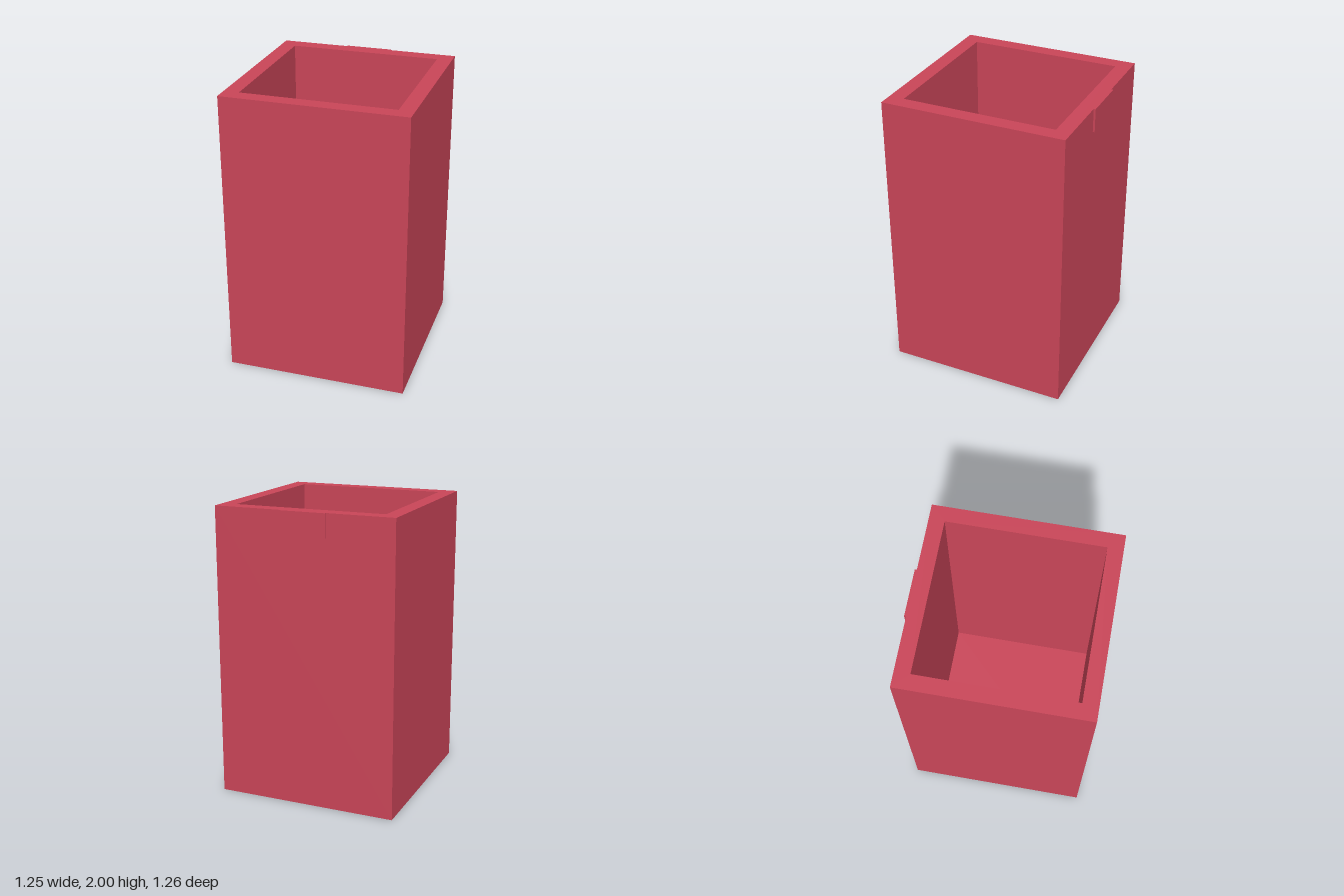
import * as THREE from 'three';

const HEIGHT = 2, SIZE = 1.252, CAVITY = 1.044, FLOOR = 0.1, CENTRE_Z = 0.0065;

export function createModel() {
  const group = new THREE.Group();
  const red = new THREE.MeshStandardMaterial({ color: 0xc94558 });
  red.name = 'red';

  const add = (name, geometry, x, y, z) => {
    const mesh = new THREE.Mesh(geometry, red);
    mesh.name = name;
    mesh.position.set(x, y, z);
    group.add(mesh);
    return mesh;
  };

  const square = (Type, side) => {
    const h = side / 2;
    return new Type([[-h, -h], [h, -h], [h, h], [-h, h]].map(([x, y]) => new THREE.Vector2(x, y)));
  };

  // Four walls around the open square cavity
  const outline = square(THREE.Shape, SIZE);
  outline.holes.push(square(THREE.Path, CAVITY));
  const walls = new THREE.ExtrudeGeometry(outline, { depth: HEIGHT, bevelEnabled: false });
  walls.rotateX(-Math.PI / 2);
  add('walls', walls, 0, 0, CENTRE_Z);

  // Floor closing the bottom of the cavity
  add('floor', new THREE.BoxGeometry(CAVITY, FLOOR, CAVITY), 0, FLOOR / 2, CENTRE_Z);

  // Thin tab at the top of the back wall
  const back = CENTRE_Z - SIZE / 2, tabDepth = 0.013;
  add('backTab', new THREE.BoxGeometry(0.32, 0.16, tabDepth), 0, HEIGHT - 0.08, back - tabDepth / 2);

  return group;
}
